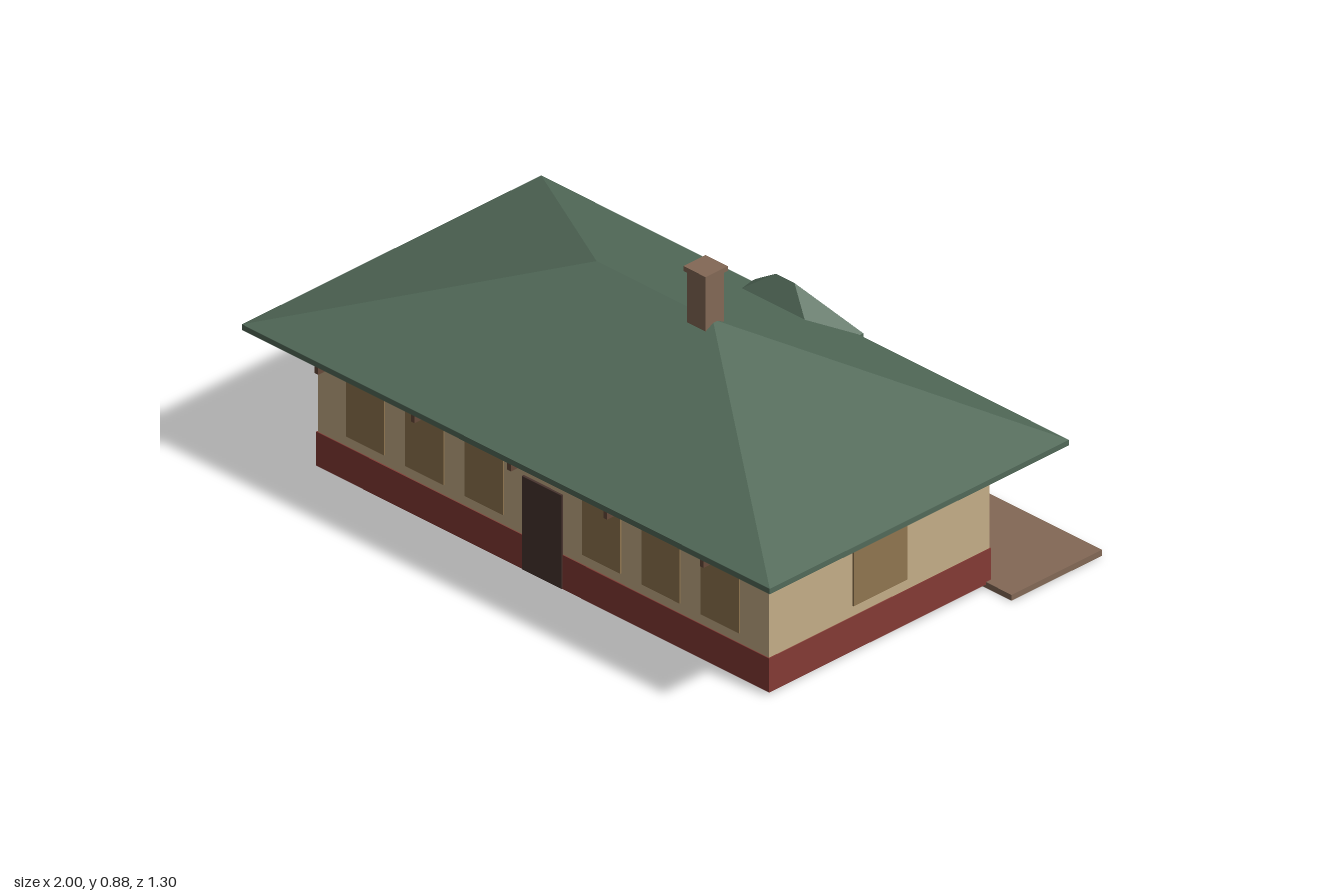
import * as THREE from 'three';

const material = (name, color) => {
  const m = new THREE.MeshStandardMaterial({ color });
  m.name = name;
  return m;
};

// Hip roof: eave rectangle, thin fascia, ridge along x, closed soffit
function hipRoof(hx, z0, z1, y0, y1, ridgeX, ridgeY, ridgeZ) {
  const ring = y => [[-hx, y, z1], [hx, y, z1], [hx, y, z0], [-hx, y, z0]];
  const b = ring(y0), t = ring(y1);
  const left = [ridgeX, ridgeY, ridgeZ], right = [-ridgeX, ridgeY, ridgeZ];
  const pos = [];
  const face = (...c) => {
    for (let i = 1; i < c.length - 1; i++) pos.push(...c[0], ...c[i], ...c[i + 1]);
  };
  for (let i = 0; i < 4; i++) {
    const j = (i + 1) % 4;
    face(b[i], b[j], t[j], t[i]);
  }
  face(t[0], t[1], left, right);
  face(t[1], t[2], left);
  face(t[2], t[3], right, left);
  face(t[3], t[0], right);
  face(b[3], b[2], b[1], b[0]);
  const g = new THREE.BufferGeometry();
  g.setAttribute('position', new THREE.Float32BufferAttribute(pos, 3));
  g.computeVertexNormals();
  return g;
}

export function createModel() {
  const model = new THREE.Group();
  model.name = 'stationBuilding';

  const roofGreen = material('roof green', 0x526a59);
  const wallTan = material('wall tan', 0xc4ad87);
  const baseRed = material('base red', 0x843a34);
  const windowBrown = material('window brown', 0x90754f);
  const doorDark = material('door dark brown', 0x48342e);
  const paving = material('platform and chimney brown', 0x836855);
  const timber = material('bracket brown', 0x664a3a);

  const add = (name, geometry, mat) => {
    const mesh = new THREE.Mesh(geometry, mat);
    mesh.name = name;
    model.add(mesh);
    return mesh;
  };
  // Box given by its limits on each axis
  const box = (name, mat, x0, x1, y0, y1, z0, z1) => {
    const mesh = add(name, new THREE.BoxGeometry(x1 - x0, y1 - y0, z1 - z0), mat);
    mesh.position.set((x0 + x1) / 2, (y0 + y1) / 2, (z0 + z1) / 2);
    return mesh;
  };

  const front = 0.508, back = -0.325, bayBack = -0.46;
  const side = 0.855, baySide = 0.175, lip = 0.003, plate = 0.004;

  // Walls on a slightly wider painted base
  box('mainWalls', wallTan, -side, side, 0.115, 0.435, back, front);
  box('mainBase', baseRed, -side - lip, side + lip, 0.01, 0.115, back - lip, front + lip);
  box('bayWalls', wallTan, -baySide, baySide, 0.115, 0.435, bayBack, back);
  box('bayBase', baseRed, -baySide - lip, baySide + lip, 0.01, 0.115, bayBack - lip, back);

  // Thin plates on walls facing z or x
  const plateZ = (name, mat, x, w, y0, y1, z) =>
    box(name, mat, x - w / 2, x + w / 2, y0, y1, z - plate, z + plate);
  const plateX = (name, mat, x, y0, y1, z0, z1) =>
    box(name, mat, x - plate, x + plate, y0, y1, z0, z1);

  plateZ('frontDoor', doorDark, 0, 0.15, 0.012, 0.3, front + lip);
  for (const s of [-1, 1]) {
    for (const x of [0.2225, 0.4475, 0.6725])
      plateZ('frontWindow', windowBrown, s * x, 0.145, 0.147, 0.34, front);
    for (const x of [0.4475, 0.6725])
      plateZ('backWindow', windowBrown, s * x, 0.145, 0.147, 0.34, back);
    plateZ('backDoor', doorDark, s * 0.275, 0.145, 0.012, 0.3, back - lip);
    plateZ('bayWindow', windowBrown, s * 0.0825, 0.125, 0.147, 0.34, bayBack - lip);
    plateX('sideWindow', windowBrown, s * side, 0.147, 0.34, -0.01, 0.192);
    plateX('baySideWindow', windowBrown, s * baySide, 0.147, 0.34, -0.447, -0.342);
  }

  // Main roof and the small bay roof growing out of it
  add('mainRoof', hipRoof(1, -0.48, 0.65, 0.428, 0.445, 0.22, 0.73, 0.088), roofGreen);
  add('bayRoof', hipRoof(0.205, -0.496, -0.314, 0.431, 0.443, 0.035, 0.566, -0.405), roofGreen);

  // Eave brackets, front and back
  for (const x of [-0.73, -0.365, 0, 0.365, 0.73]) {
    box('frontBracket', timber, x - 0.007, x + 0.007, 0.397, 0.43, front, 0.638);
    if (x !== 0) box('backBracket', timber, x - 0.007, x + 0.007, 0.397, 0.43, bayBack, back);
  }

  // Chimney
  box('chimneyShaft', paving, 0.16, 0.23, 0.66, 0.872, 0.055, 0.125);
  box('chimneyCap', paving, 0.153, 0.237, 0.87, 0.885, 0.048, 0.132);

  // Platform along the back
  box('platform', paving, -0.955, 0.955, 0, 0.018, -0.65, -0.308);

  return model;
}
